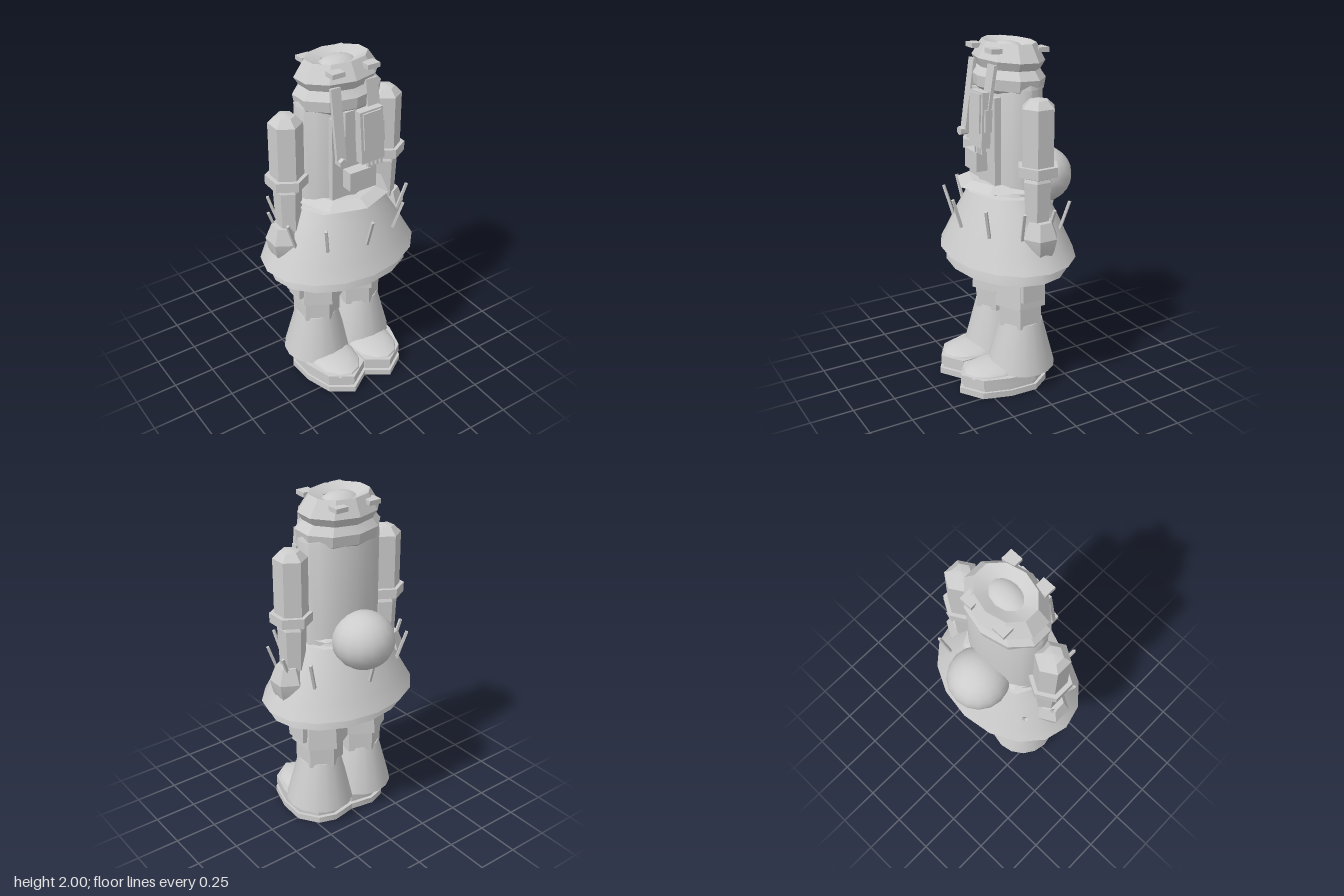
import * as THREE from 'three';
import { toCreasedNormals } from 'three/addons/utils/BufferGeometryUtils.js';

export function createModel() {
  const model = new THREE.Group();
  const grey = new THREE.MeshStandardMaterial({ color: 0xcccccc, side: THREE.DoubleSide });
  grey.name = 'light grey';

  const add = (name, geo, parent = model, crease = 0.55) => {
    const mesh = new THREE.Mesh(toCreasedNormals(geo, crease), grey);
    mesh.name = name;
    parent.add(mesh);
    return mesh;
  };
  // Turned part: profile of [radius, y], stretched to an oval
  const turn = (name, pts, sides, { x = 0, z = 0, sx = 1, sz = 1, crease, parent } = {}) => {
    const g = new THREE.LatheGeometry(pts.map(p => new THREE.Vector2(...p)), sides);
    g.scale(sx, 1, sz).translate(x, 0, z);
    return add(name, g, parent, crease);
  };
  // Box given by its low and high corners
  const box = (name, [x0, y0, z0], [x1, y1, z1], parent) => {
    const m = add(name, new THREE.BoxGeometry(x1 - x0, y1 - y0, z1 - z0), parent);
    m.position.set((x0 + x1) / 2, (y0 + y1) / 2, (z0 + z1) / 2);
    return m;
  };
  // Flat bar running between two points
  const bar = (name, a, b, w, d, parent) => {
    const p = new THREE.Vector3(...a), q = new THREE.Vector3(...b);
    const m = add(name, new THREE.BoxGeometry(w, d, p.distanceTo(q)), parent);
    m.position.copy(p).lerp(q, 0.5);
    m.lookAt(q);
    return m;
  };

  // Torso with front slab and panels
  turn('torso', [[0, 1.1], [1, 1.1], [1, 1.76], [0.9, 1.82], [0, 1.82]], 20, { sx: 0.25, sz: 0.162 });
  box('chestSlab', [-0.14, 1.12, 0], [0.15, 1.72, 0.168]);
  box('upperChestPanel', [-0.07, 1.51, 0.15], [0.0, 1.75, 0.185]);
  box('lowerChestPanel', [-0.07, 1.3, 0.15], [0.065, 1.41, 0.235]);

  // Stacked head collars, tipped slightly back
  const head = new THREE.Group();
  head.name = 'head';
  head.position.y = 1.9;
  head.rotation.x = -0.05;
  model.add(head);
  turn('lowerCollar', [[0.22, -0.17], [0.245, -0.15], [0.255, -0.09], [0.21, -0.04], [0, -0.04]], 10,
    { sz: 0.74, crease: 0.4, parent: head });
  turn('upperCollar', [[0, -0.05], [0.21, -0.05], [0.242, 0], [0.18, 0.09], [0.1, 0.06]], 10,
    { sz: 0.76, crease: 0.4, parent: head });
  turn('crownDome', [[0.1, 0.06], [0.075, 0.075], [0.04, 0.083], [0, 0.086]], 16,
    { sz: 0.7, parent: head });
  for (const s of [-1, 1]) for (const z of [-0.135, 0.152]) {
    const clip = box('collarClip', [-0.038, 0, -0.033], [0.038, 0.026, 0.033], head);
    clip.position.set(s * 0.108, 0.055, z);
  }

  // Straps, chest device and knob
  bar('rightStrap', [-0.115, 1.89, 0.155], [-0.115, 1.5, 0.212], 0.058, 0.02);
  bar('leftStrap', [0.108, 1.89, 0.155], [0.108, 1.62, 0.2], 0.075, 0.02);
  const knob = add('strapKnob', new THREE.CylinderGeometry(0.026, 0.026, 0.05, 6));
  knob.rotation.x = Math.PI / 2;
  knob.position.set(-0.118, 1.492, 0.22);
  const device = new THREE.Group();
  device.name = 'chestDevice';
  device.position.set(0.07, 1.6, 0.215);
  device.rotation.set(-0.05, 0, 0.03);
  model.add(device);
  box('deviceBody', [-0.075, -0.15, -0.03], [0.07, 0.15, 0.022], device);
  box('deviceCover', [-0.06, -0.07, 0], [0.055, 0.14, 0.032], device);
  box('deviceSide', [0.06, -0.06, -0.03], [0.085, 0.06, 0.01], device);
  for (let i = 0; i < 4; i++) {
    const x = -0.03 + i * 0.026;
    box('devicePin', [x, -0.185, -0.01], [x + 0.014, -0.14, 0.015], device);
  }

  // Waist frill and ball at the back
  turn('upperFrill', [[0.15, 1.18], [0.275, 1.205], [0.2, 1.235], [0.15, 1.235]], 8,
    { z: 0.045, sz: 0.92, crease: 0.3 });
  turn('lowerFrill', [[0.15, 1.155], [0.29, 1.17], [0.15, 1.195]], 8, { z: 0.02, sz: 0.78, crease: 0.3 });
  const ball = new THREE.SphereGeometry(1, 16, 12);
  ball.scale(0.177, 0.164, 0.176).translate(0, 1.202, -0.22);
  add('backBall', ball);

  // Hollow layered skirt
  turn('skirt', [[0.475, 0.8], [0.425, 0.885], [0.36, 1.0], [0.29, 1.11], [0.24, 1.19]], 16,
    { z: 0.01, sz: 0.765 });
  turn('underskirt', [[0.43, 0.725], [0.41, 0.81], [0.33, 0.95]], 16, { z: 0.02, sz: 0.755 });
  turn('skirtLining', [[0, 0.82], [0.4, 0.82]], 16, { z: 0.02, sz: 0.755 });
  for (const deg of [0, 37, 70, 100, 127, 180, 233, 260, 290, 323]) {
    const a = deg * Math.PI / 180, sx = Math.sin(a), cz = Math.cos(a);
    bar('skirtSpike', [sx * 0.365, 0.97, cz * 0.29 + 0.01], [sx * 0.425, 1.14, cz * 0.34 + 0.01], 0.015, 0.015);
  }

  // Foot outline, for the model's left foot
  const outline = [[0.13, 0.395], [0.26, 0.31], [0.31, 0.15], [0.315, -0.01], [0.24, -0.12],
    [0.14, -0.155], [0, -0.13], [0, 0.31]];
  const footLayer = (s, y, h, k) => {
    const shape = new THREE.Shape(outline.map(([x, z]) =>
      new THREE.Vector2(s * (0.15 + (x - 0.15) * k), -(0.12 + (z - 0.12) * k))));
    const g = new THREE.ExtrudeGeometry(shape, { depth: h, bevelEnabled: false });
    return g.rotateX(-Math.PI / 2).translate(0, y, 0);
  };

  for (const [s, side] of [[1, 'left'], [-1, 'right']]) {
    const x = s * 0.32;
    // Six-sided arm: domed upper arm, band, forearm and tapered hand
    turn(side + 'UpperArm', [[0.07, 1.3], [0.097, 1.34], [0.097, 1.69], [0.055, 1.73], [0, 1.742]], 6,
      { x, sx: 0.95, crease: 0.3 });
    turn(side + 'ArmBand', [[0, 1.325], [0.12, 1.325], [0.12, 1.38], [0, 1.38]], 6, { x, crease: 0.3 });
    turn(side + 'Forearm', [[0, 1.05], [0.075, 1.05], [0.085, 1.29], [0.075, 1.31], [0, 1.33]], 6,
      { x, sx: 0.92, crease: 0.3 });
    turn(side + 'Hand', [[0, 0.785], [0.035, 0.785], [0.09, 0.91], [0.105, 0.98], [0.07, 1.07], [0, 1.07]], 6,
      { x: s * 0.35, crease: 0.3 });

    // Six-sided trouser leg with hip pocket and shin
    turn(side + 'TrouserLeg', [[0, 0.515], [0.165, 0.515], [0.15, 0.74], [0.14, 0.85]], 6,
      { x: s * 0.14, crease: 0.3 });
    box(side + 'HipPocket', [s * 0.275 - 0.032, 0.565, -0.065], [s * 0.275 + 0.032, 0.73, 0.075]);
    turn(side + 'Shin', [[0.138, 0.38], [0.138, 0.53]], 6, { x: s * 0.143, crease: 0.3 });

    // Flared boot, toe cap and double sole
    const boot = new THREE.CylinderGeometry(0.125, 0.2, 0.29, 16);
    boot.translate(s * 0.147, 0.255, 0);
    add(side + 'Boot', boot);
    const toe = new THREE.SphereGeometry(1, 12, 5, 0, Math.PI * 2, 0, Math.PI / 2);
    toe.scale(0.14, 0.05, 0.2).translate(s * 0.135, 0.108, 0.17);
    add(side + 'ToeCap', toe);
    add(side + 'UpperFoot', footLayer(s, 0.06, 0.055, 0.97));
    add(side + 'Welt', footLayer(s, 0.035, 0.03, 0.92));
    add(side + 'Sole', footLayer(s, 0, 0.037, 1));
  }
  return model;
}
